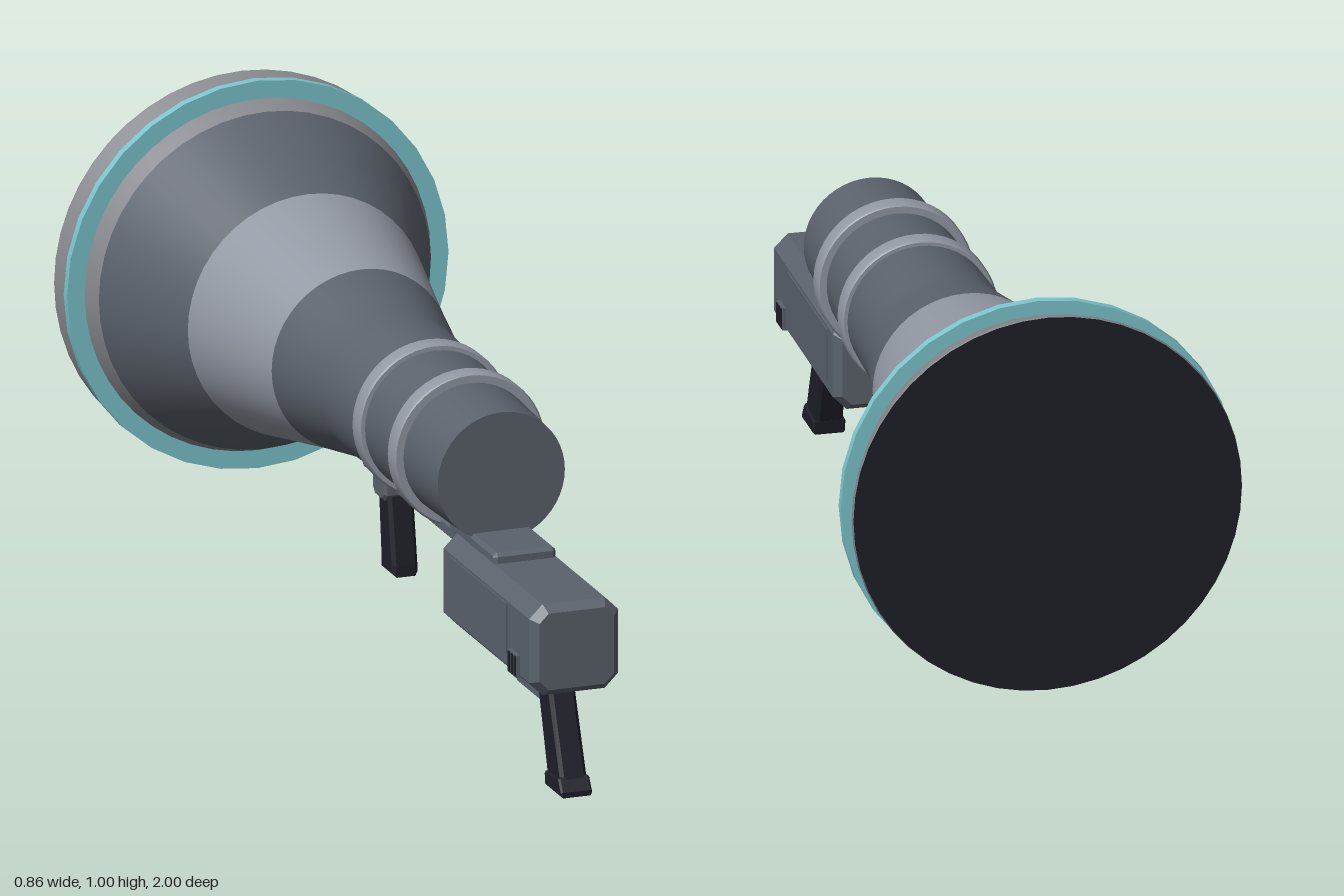
import * as THREE from 'three';

const mat = (name, color, side = THREE.FrontSide) => {
  const m = new THREE.MeshStandardMaterial({ color, side });
  m.name = name;
  return m;
};

export function createModel() {
  const gunmetal = mat('gunmetal', 0x5b626c);
  const lightSteel = mat('light steel', 0x9399a4);
  const rimGrey = mat('rim grey', 0x88898e);
  const cyan = mat('cyan', 0x7cc6ce);
  const black = mat('near black', 0x1e1e28);

  const model = new THREE.Group();
  model.name = 'hornLauncher';
  const AXIS = 0.572;

  const add = (name, geo, material, x = 0, y = 0, z = 0) => {
    const mesh = new THREE.Mesh(geo, material);
    mesh.name = name;
    mesh.position.set(x, y, z);
    model.add(mesh);
    return mesh;
  };

  // Surface of revolution about the horn axis from [radius, z] pairs, running toward -z
  const turned = (name, profile, material, segments = 48) => {
    const pts = profile.map(([r, z]) => new THREE.Vector2(r, -z));
    return add(name, new THREE.LatheGeometry(pts, segments).rotateX(-Math.PI / 2), material, 0, AXIS);
  };

  // Side outline of [z, y] pairs, extruded across x with a small chamfer
  const slab = (name, outline, width, bevel, material, x = 0) => {
    const shape = new THREE.Shape(outline.map(([z, y]) => new THREE.Vector2(z, y)));
    const geo = new THREE.ExtrudeGeometry(shape, {
      depth: width - 2 * bevel, bevelEnabled: bevel > 0, bevelSegments: 1,
      bevelSize: bevel, bevelThickness: bevel, bevelOffset: -bevel,
    });
    geo.translate(0, 0, bevel - width / 2).rotateY(-Math.PI / 2);
    return add(name, geo, material, x);
  };

  // Rectangle in z and y with cut corners
  const cutRect = (z0, z1, y0, y1, c) => [
    [z0 + c, y0], [z1 - c, y0], [z1, y0 + c], [z1, y1 - c],
    [z1 - c, y1], [z0 + c, y1], [z0, y1 - c], [z0, y0 + c],
  ];

  // Horn, one piece per colour
  turned('tubeEnd', [[0, 0.55], [0.143, 0.55]], gunmetal);
  turned('tube', [[0.143, 0.55], [0.165, -0.09], [0.18, -0.17], [0.202, -0.285]], gunmetal);
  turned('hornThroat', [[0.202, -0.285], [0.27, -0.605]], lightSteel);
  turned('hornFlare', [[0.27, -0.605], [0.374, -0.86]], gunmetal);
  turned('hornRim', [[0.374, -0.86], [0.424, -0.992], [0.422, -1]], rimGrey);
  turned('hornMouth', [[0.422, -1], [0, -1]], black);

  // Cyan ring behind the rim
  for (const [part, profile] of [
    ['Front', [[0.36, -0.902], [0.43, -0.902]]],
    ['Edge', [[0.43, -0.902], [0.43, -0.922]]],
    ['Back', [[0.43, -0.922], [0.36, -0.922]]],
  ]) turned('ring' + part, profile, cyan, 32);

  // Two clamp bands
  for (const z of [0.34, 0.13]) {
    turned('clampFront', [[0.13, z + 0.022], [0.166, z + 0.022]], lightSteel);
    turned('clampEdge', [[0.166, z + 0.022], [0.17, z + 0.018], [0.17, z - 0.018], [0.166, z - 0.022]], lightSteel);
    turned('clampBack', [[0.166, z - 0.022], [0.13, z - 0.022]], lightSteel);
  }

  // Receiver: cut-corner section with chamfered ends
  const section = new THREE.Shape(cutRect(-0.1, 0.1, 0.228, 0.43, 0.03).map(([x, y]) => new THREE.Vector2(x, y)));
  const receiver = new THREE.ExtrudeGeometry(section, {
    depth: 0.51, bevelEnabled: true, bevelSegments: 1, bevelSize: 0.016, bevelThickness: 0.02, bevelOffset: -0.016,
  });
  add('receiver', receiver, gunmetal, 0, 0, 0.47);

  // Side panels and latches, mirrored
  for (const s of [-1, 1]) {
    add('sidePanel', new THREE.BoxGeometry(0.006, 0.11, 0.34), gunmetal, s * 0.1, 0.34, 0.68);
    add('latchPlate', new THREE.BoxGeometry(0.016, 0.05, 0.05), gunmetal, s * 0.1, 0.278, 0.9);
    for (const dz of [-0.017, 0, 0.017]) {
      add('latchRib', new THREE.BoxGeometry(0.006, 0.044, 0.009), black, s * 0.107, 0.278, 0.9 + dz);
    }
  }

  // Mount plate and rail below the tube
  slab('mountPlate', cutRect(0.42, 0.695, 0.42, 0.453, 0.008), 0.14, 0.008, gunmetal);
  slab('rail', [[-0.13, 0.42], [-0.1, 0.398], [0.47, 0.398], [0.47, 0.43], [-0.13, 0.43]], 0.13, 0.006, gunmetal);

  // Foregrip
  slab('foregripBlock', [[-0.04, 0.41], [-0.115, 0.41], [-0.115, 0.35], [-0.1, 0.335], [-0.055, 0.335], [-0.04, 0.35]],
    0.08, 0.006, gunmetal);
  slab('foregrip', [[-0.045, 0.345], [-0.11, 0.345], [-0.095, 0.2], [-0.097, 0.174], [-0.018, 0.174], [-0.02, 0.2]],
    0.058, 0.008, black);

  // Rear grip with a flared foot
  slab('rearGrip', [[0.92, 0.245], [0.912, 0.22], [0.985, 0.035], [0.9, 0.02], [0.852, 0.17], [0.83, 0.245]],
    0.06, 0.008, black);
  slab('gripFoot', [[0.982, 0.04], [1, 0.012], [1, 0], [0.9, 0], [0.896, 0.03]], 0.07, 0.004, black);

  // Trigger guard and trigger
  slab('triggerGuard', [[0.87, 0.165], [0.69, 0.165], [0.68, 0.175], [0.675, 0.24], [0.688, 0.24],
    [0.692, 0.177], [0.87, 0.177]], 0.034, 0, gunmetal);
  slab('trigger', [[0.785, 0.24], [0.772, 0.19], [0.762, 0.188], [0.766, 0.21], [0.768, 0.24]], 0.018, 0, gunmetal);

  return model;
}
